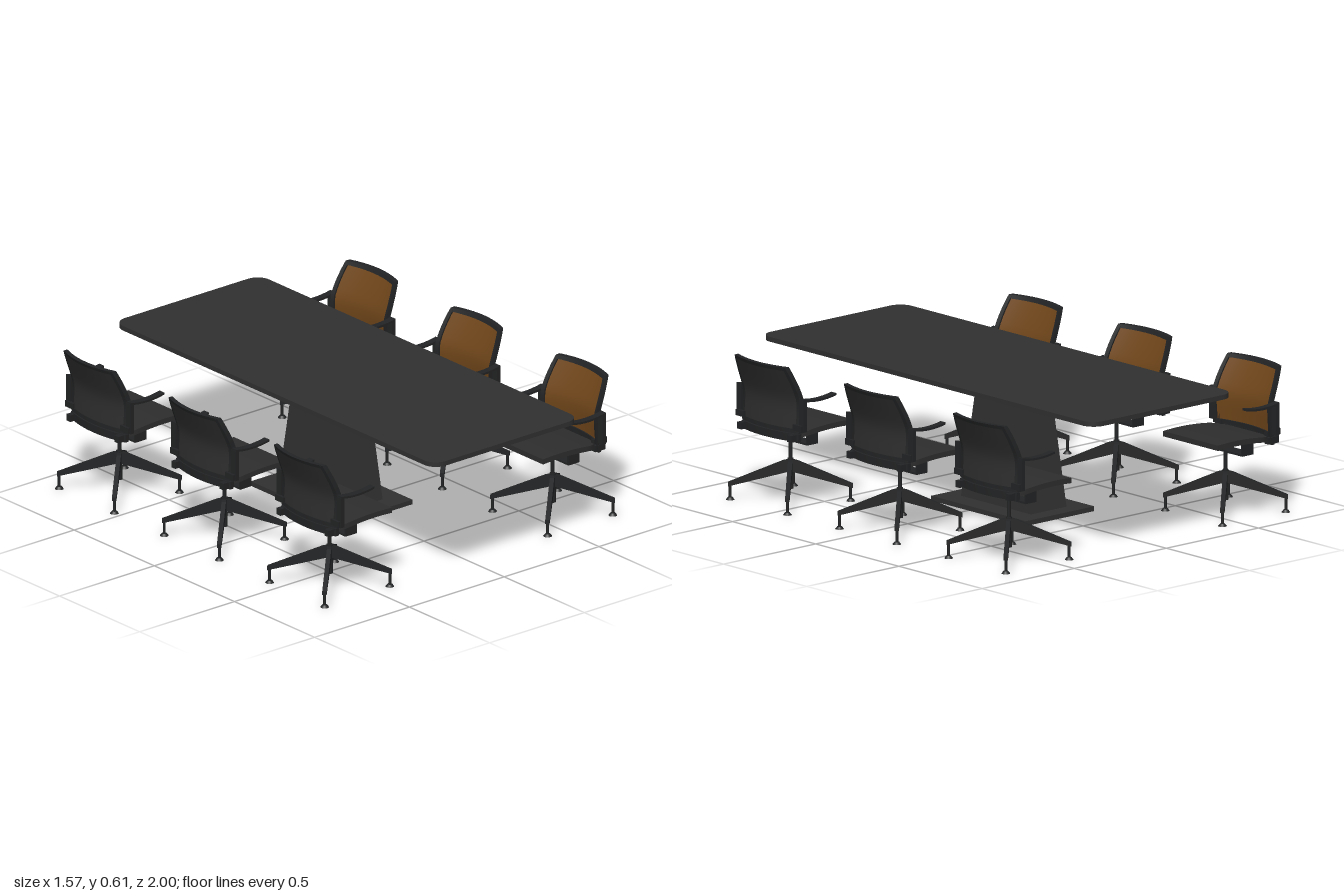
import * as THREE from 'three';

const mat = (name, color) => Object.assign(new THREE.MeshStandardMaterial({ color }), { name });

export function createModel() {
  const tableMat = mat('table charcoal', 0x303030);
  const fabric = mat('dark fabric', 0x2d2d2d);
  const frameMat = mat('black frame', 0x222324);
  const brown = mat('brown mesh', 0x70461a);
  const model = new THREE.Group();
  model.name = 'meetingTableWithChairs';

  const add = (parent, name, geometry, material, x = 0, y = 0, z = 0) => {
    const mesh = new THREE.Mesh(geometry, material);
    mesh.name = name;
    mesh.position.set(x, y, z);
    parent.add(mesh);
    return mesh;
  };
  const box = (parent, name, material, size, pos) =>
    add(parent, name, new THREE.BoxGeometry(...size), material, ...pos);
  // Moves every vertex of a geometry by a rule
  const reshape = (geometry, rule) => {
    const p = geometry.attributes.position;
    const v = new THREE.Vector3();
    for (let i = 0; i < p.count; i++) {
      rule(v.fromBufferAttribute(p, i));
      p.setXYZ(i, v.x, v.y, v.z);
    }
    geometry.computeVertexNormals();
    return geometry;
  };

  // ---- Table ----
  const table = new THREE.Group();
  table.name = 'table';
  model.add(table);
  const w = 0.385, d = 1, r = 0.06;
  const top = new THREE.Shape();
  top.moveTo(-w + r, -d);
  top.absarc(w - r, -d + r, r, -Math.PI / 2, 0);
  top.absarc(w - r, d - r, r, 0, Math.PI / 2);
  top.absarc(-w + r, d - r, r, Math.PI / 2, Math.PI);
  top.absarc(-w + r, -d + r, r, Math.PI, Math.PI * 1.5);
  const topGeo = new THREE.ExtrudeGeometry(top, { depth: 0.02, bevelEnabled: false, curveSegments: 8 });
  topGeo.rotateX(-Math.PI / 2);
  add(table, 'tableTop', topGeo, tableMat, 0.015, 0.565, 0);

  const pedestal = reshape(new THREE.BoxGeometry(0.194, 0.535, 0.42), v => {
    if (v.y > 0) { v.x *= 0.68; v.z *= 0.67; }
  });
  add(table, 'pedestal', pedestal, tableMat, 0.015, 0.2975, -0.1);
  box(table, 'basePlate', tableMat, [0.37, 0.02, 0.57], [0.016, 0.021, -0.095]);
  box(table, 'baseUnderside', frameMat, [0.22, 0.006, 0.4], [0.016, 0.011, -0.095]);

  // ---- Chair, facing +x with its column at the origin ----
  // Depth of the backrest: upright low down, reclined above, hollowed across
  const spine = new THREE.SplineCurve([
    [-0.128, 0.28], [-0.126, 0.34], [-0.12, 0.44], [-0.137, 0.5], [-0.185, 0.605],
  ].map(p => new THREE.Vector2(...p))).getPoints(40);
  const spineAt = y => {
    const i = Math.max(1, spine.findIndex(p => p.y >= y - 1e-6));
    const a = spine[i - 1], b = spine[i];
    return a.x + (b.x - a.x) * (y - a.y) / (b.y - a.y);
  };
  const backSlab = (y0, y1, z0, z1, thickness, offset) => {
    const g = new THREE.BoxGeometry(thickness, y1 - y0, z1 - z0, 1, 10, 10);
    g.translate(offset, (y0 + y1) / 2, (z0 + z1) / 2);
    return reshape(g, v => {
      v.x += spineAt(v.y) + 0.028 * (v.z / 0.17) ** 2;
      v.z *= 1 - 0.12 * Math.max(0, (v.y - 0.46) / 0.145) ** 2;
    });
  };
  // Tapered star leg running outwards along +x
  const legShape = new THREE.Shape([
    [0, 0.172], [0.03, 0.165], [0.252, 0.072], [0.252, 0.056], [0, 0.122],
  ].map(p => new THREE.Vector2(...p)));
  const legGeo = new THREE.ExtrudeGeometry(legShape, { depth: 0.018, bevelEnabled: false });
  legGeo.translate(0, 0, -0.009);

  const makeChair = () => {
    const chair = new THREE.Group();

    // Seat, gently domed, with the rear corners drawn in
    const seat = reshape(new THREE.BoxGeometry(0.305, 0.022, 0.33, 12, 1, 4), v => {
      v.x += 0.0375;
      v.y += 0.327 - 0.4 * (v.x - 0.1) ** 2;
      if (v.x < -0.06) v.z *= 1 + (v.x + 0.06) * 3;
    });
    add(chair, 'seat', seat, fabric);

    // Backrest: rear shell, mesh panel on its front, raised rim
    add(chair, 'backShell', backSlab(0.33, 0.6, -0.165, 0.165, 0.008, -0.004), fabric);
    add(chair, 'backMesh', backSlab(0.34, 0.592, -0.158, 0.158, 0.004, 0.002), brown);
    add(chair, 'backRimTop', backSlab(0.59, 0.605, -0.172, 0.172, 0.02, 0), frameMat);
    add(chair, 'backRimBottom', backSlab(0.325, 0.342, -0.172, 0.172, 0.02, 0), frameMat);
    add(chair, 'backLowerBar', backSlab(0.29, 0.322, -0.17, 0.17, 0.016, -0.004), frameMat);

    for (const s of [-1, 1]) {
      const inner = s * 0.156, outer = s * 0.172;
      add(chair, 'backRimSide',
        backSlab(0.33, 0.6, Math.min(inner, outer), Math.max(inner, outer), 0.022, 0), frameMat);
      box(chair, 'backBracket', frameMat, [0.055, 0.028, 0.025], [-0.115, 0.306, s * 0.15]);
      box(chair, 'backLink', frameMat, [0.016, 0.03, 0.02], [-0.1, 0.325, s * 0.14]);

      // Armrest: upright and slightly dipping pad
      box(chair, 'armUpright', frameMat, [0.018, 0.13, 0.028], [-0.102, 0.4, s * 0.187]);
      box(chair, 'armConnector', frameMat, [0.022, 0.025, 0.05], [-0.11, 0.35, s * 0.172]);
      const pad = reshape(new THREE.BoxGeometry(0.175, 0.009, 0.03, 8, 1, 1), v => {
        v.y += 1.2 * v.x ** 2;
      });
      add(chair, 'armPad', pad, frameMat, -0.022, 0.458, s * 0.188);

      // Side of the tilt cradle
      box(chair, 'cradleSide', frameMat, [0.06, 0.055, 0.007], [0, 0.285, s * 0.13]);
    }
    box(chair, 'cradlePlate', frameMat, [0.06, 0.008, 0.267], [0, 0.26, 0]);

    // Column
    add(chair, 'columnTop', new THREE.CylinderGeometry(0.008, 0.008, 0.09, 12), frameMat, 0, 0.212, 0);
    add(chair, 'columnSleeve', new THREE.CylinderGeometry(0.013, 0.013, 0.125, 12), frameMat, 0, 0.1125, 0);

    // Four diagonal legs with glides
    for (let i = 0; i < 4; i++) {
      const leg = new THREE.Group();
      leg.name = 'starLeg';
      leg.rotation.y = Math.PI / 4 + i * Math.PI / 2;
      chair.add(leg);
      add(leg, 'legArm', legGeo, frameMat);
      add(leg, 'glideStem', new THREE.CylinderGeometry(0.006, 0.006, 0.055, 8), frameMat, 0.243, 0.035, 0);
      add(leg, 'glideFoot', new THREE.CylinderGeometry(0.01, 0.018, 0.01, 16), frameMat, 0.243, 0.005, 0);
    }
    return chair;
  };

  // ---- Three chairs along each side ----
  for (const z of [-0.705, -0.05, 0.607]) {
    for (const s of [-1, 1]) {
      const chair = makeChair();
      chair.name = s > 0 ? 'leftChair' : 'rightChair';
      chair.position.set(s * 0.588, 0, z);
      if (s > 0) chair.rotation.y = Math.PI;
      model.add(chair);
    }
  }
  return model;
}
